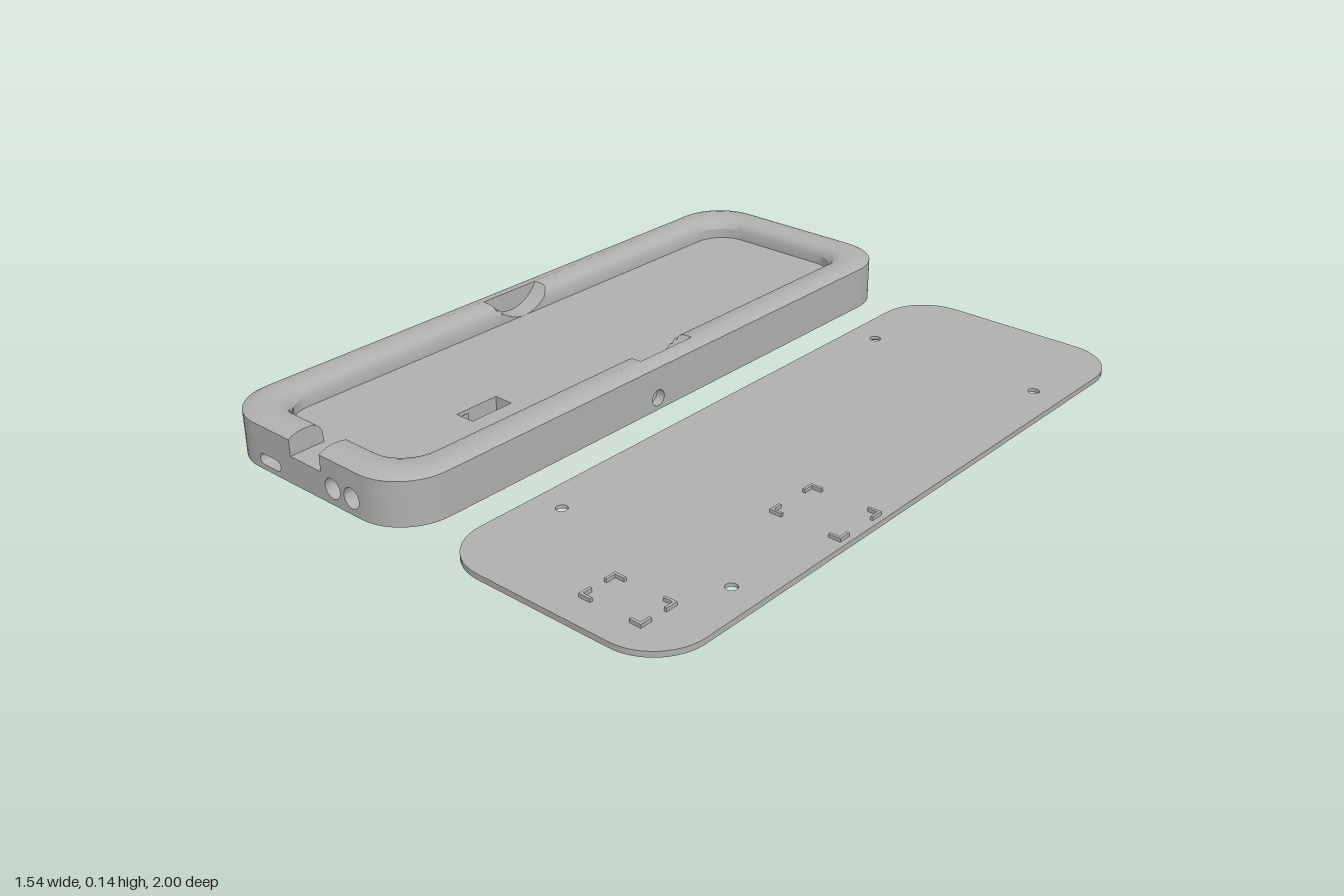
import * as THREE from 'three';
import { toCreasedNormals } from 'three/addons/utils/BufferGeometryUtils.js';

const HALF_W = 0.3575, HALF_L = 1, CORNER = 0.15, FLOOR = 0.08, CEILING = 0.068, RIM = 0.105;
const grey = new THREE.MeshStandardMaterial({ color: 0xb0b0b0, side: THREE.DoubleSide });
grey.name = 'plastic grey';

const vec = (x, z) => new THREE.Vector2(x, -z); // plan coordinates: shape y is -z

function add(parent, name, geometry) {
  const mesh = new THREE.Mesh(geometry, grey);
  mesh.name = name;
  parent.add(mesh);
  return mesh;
}

// Rounded rectangle inset by t, counter-clockwise from above, with samples where cuts need them
function outline(t) {
  const a = HALF_W - t, b = HALF_L - t, r = CORNER - 0.5 * t;
  const sx = a - r, sz = b - r, pts = [];
  const scoop = [];
  for (let i = -9; i <= 9; i++) scoop.push((i / 9) * 0.105);
  const notch = [-0.0627, -0.0625, 0.0575, 0.0577];
  const corner = (cx, cy, start) => {
    for (let i = 0; i <= 12; i++) {
      const q = start + (i / 12) * Math.PI / 2;
      pts.push(new THREE.Vector2(cx + r * Math.cos(q), cy + r * Math.sin(q)));
    }
  };
  scoop.forEach(y => pts.push(new THREE.Vector2(a, y)));
  corner(sx, sz, 0);
  corner(-sx, sz, Math.PI / 2);
  [...scoop].reverse().forEach(y => pts.push(new THREE.Vector2(-a, y)));
  corner(-sx, -sz, Math.PI);
  notch.forEach(x => pts.push(new THREE.Vector2(x, -b)));
  corner(sx, -sz, -Math.PI / 2);
  return pts;
}

// Quads between successive closed rings of [x, y, z]
function skin(rings, skip = () => false) {
  const n = rings[0].length, position = [];
  for (let i = 0; i < rings.length - 1; i++) {
    for (let j = 0; j < n; j++) {
      const k = (j + 1) % n;
      const a = rings[i][j], b = rings[i][k], c = rings[i + 1][k], d = rings[i + 1][j];
      if (!skip(a, b)) position.push(...a, ...b, ...c, ...a, ...c, ...d);
    }
  }
  const g = new THREE.BufferGeometry();
  g.setAttribute('position', new THREE.Float32BufferAttribute(position, 3));
  return toCreasedNormals(g, 0.5);
}

// Wall following a 2D outline, running along local z
const wall = (pts, z0, z1, skip) =>
  skin([z0, z1].map(z => pts.map(p => [p.x, p.y, z])), skip);

const lay = (g, y = 0) => g.rotateX(-Math.PI / 2).translate(0, y, 0);

function face(pts, holes = []) {
  const shape = new THREE.Shape(pts);
  shape.holes = holes.map(h => new THREE.Path(h));
  return new THREE.ShapeGeometry(shape);
}

const rect = (x0, x1, y0, y1) =>
  [[x0, y0], [x1, y0], [x1, y1], [x0, y1]].map(p => new THREE.Vector2(...p));

// Stadium outline; a circle when the half span is zero
function stadium(cx, cy, r, span = 0) {
  const pts = [];
  for (let i = 0; i < 24; i++) {
    const q = (i + 0.5) / 24 * Math.PI * 2;
    pts.push(new THREE.Vector2(cx + Math.sign(Math.cos(q)) * span + r * Math.cos(q), cy + r * Math.sin(q)));
  }
  return pts;
}

const fourHoles = (x, z, r) =>
  [[1, 1], [1, -1], [-1, 1], [-1, -1]].map(([i, j]) => stadium(i * x, j * z, r));

// Rim height after cutting the cable notch and the two finger scoops
function cutHeight(p, t, y) {
  const z = -p.y;
  if (z > 0.8 && p.x > -0.0626 && p.x < 0.0576) return Math.min(y, FLOOR);
  if (t > 0.045 && Math.abs(z) < 0.1051) return Math.min(y, FLOOR + 0.122 - Math.sqrt(0.122 ** 2 - z * z));
  return y;
}

function makeTray() {
  const tray = new THREE.Group();
  tray.name = 'tray';
  const outer = outline(0);

  // Raised rim with chamfered outside and rounded inside
  const profile = [[0, FLOOR], [0, 0.127], [0.01, 0.133], [0.03, 0.139], [0.045, 0.14], [0.0452, 0.14],
    [0.075, 0.139], [0.088, 0.134], [0.098, 0.124], [RIM, 0.11], [RIM, FLOOR]];
  add(tray, 'rim', skin(profile.map(([t, y]) =>
    outline(t).map(p => [p.x, cutHeight(p, t, y), -p.y]))));

  // Pocket floor with its window
  const windowHole = rect(0.08, 0.14, -0.57, -0.43);
  add(tray, 'pocketFloor', lay(face(outline(RIM), [windowHole]), FLOOR));
  add(tray, 'windowEdge', lay(wall(windowHole, CEILING, FLOOR)));

  // Lower side wall, left open where the drilled panels go
  const onPanel = (a, b) => (Math.abs(a[0] - HALF_W) < 1e-6 && Math.abs(b[0] - HALF_W) < 1e-6) ||
    (Math.abs(a[1] + HALF_L) < 1e-6 && Math.abs(b[1] + HALF_L) < 1e-6);
  add(tray, 'sideWall', lay(wall(outer, 0, FLOOR, onPanel)));

  // Front panel with a charging slot and two jack holes
  const half = HALF_W - CORNER;
  const slot = stadium(-0.1525, 0.031, 0.016, 0.0265);
  const jacks = [0.1, 0.1725].map(x => stadium(x, 0.047, 0.029));
  add(tray, 'frontPanel', face(rect(-half, half, 0, FLOOR), [slot, ...jacks])).position.z = HALF_L;
  add(tray, 'chargingSlot', wall(slot, 0.95, HALF_L));
  jacks.forEach(j => add(tray, 'jackHole', wall(j, 0.92, HALF_L)));

  // Left panel with one round hole
  const side = HALF_L - CORNER, button = stadium(-0.085, 0.036, 0.024);
  add(tray, 'leftPanel', face(rect(-side, side, 0, FLOOR), [button]).rotateY(Math.PI / 2).translate(HALF_W, 0, 0));
  add(tray, 'buttonHole', wall(button, 0.33, HALF_W).rotateY(Math.PI / 2));

  // Underside with pockets and wire channels
  const boardPocket = [[0.33, 0.05], [0.25, 0.05], [0.25, 0.17], [0.14, 0.17], [0.14, 0.36], [0.19, 0.36],
    [0.19, 0.79], [0.04, 0.79], [0.04, 0.92], [0.23, 0.92], [0.23, 0.79], [0.22, 0.79], [0.22, 0.36],
    [0.345, 0.36], [0.345, 0.17], [0.33, 0.17]].map(p => vec(...p));
  const chargePocket = [[0.14, 0.43], [0.08, 0.43], [0.08, 0.53], [-0.17, 0.84], [-0.2, 0.84], [-0.2, 0.95],
    [-0.1, 0.95], [-0.1, 0.84], [-0.13, 0.84], [0.12, 0.57], [0.14, 0.57]].map(p => vec(...p));
  const screws = fourHoles(0.27, 0.66, 0.012);
  add(tray, 'underside', lay(face(outer, [boardPocket, chargePocket, ...screws])));
  [boardPocket, chargePocket].forEach(p => {
    add(tray, 'pocketWall', lay(wall(p, 0, CEILING)));
  });
  add(tray, 'boardPocketCeiling', lay(face(boardPocket), CEILING));
  // The charge pocket ceiling stops short of the window
  add(tray, 'chargePocketCeiling', lay(face([...chargePocket.slice(2, 10), vec(0.08, 0.57)]), CEILING));
  screws.forEach(s => {
    add(tray, 'screwHole', lay(wall(s, 0, 0.05)));
    add(tray, 'screwHoleEnd', lay(face(s), 0.05));
  });
  return tray;
}

function makeCover() {
  const cover = new THREE.Group();
  cover.name = 'cover';
  const slab = (name, holes, y, height) => {
    const shape = new THREE.Shape(outline(0));
    shape.holes = holes.map(h => new THREE.Path(h));
    const g = new THREE.ExtrudeGeometry(shape, { depth: height, bevelEnabled: false });
    add(cover, name, toCreasedNormals(lay(g, y), 0.5));
  };
  // Lower layer carries the foot recesses and countersinks
  slab('coverBottom', [...fourHoles(0.27, 0.66, 0.026), ...fourHoles(0.24, 0.8, 0.045)], 0, 0.006);
  slab('coverTop', fourHoles(0.27, 0.66, 0.016), 0.006, 0.01);

  // L-shaped corner brackets that locate the two boards
  for (const [cx, cz, hx, hz] of [[0.235, 0.26, 0.107, 0.084], [0.132, 0.857, 0.095, 0.06]]) {
    for (const i of [-1, 1]) for (const j of [-1, 1]) {
      const x = cx + i * hx, z = cz + j * hz, arm = 0.036, thick = 0.008, h = 0.012;
      add(cover, 'bracketArm', new THREE.BoxGeometry(arm, h, thick))
        .position.set(x - i * arm / 2, 0.02, z - j * thick / 2);
      add(cover, 'bracketArm', new THREE.BoxGeometry(thick, h, arm))
        .position.set(x - i * thick / 2, 0.02, z - j * arm / 2);
    }
  }
  return cover;
}

export function createModel() {
  const model = new THREE.Group();
  model.name = 'trayAndCover';
  const tray = makeTray(), cover = makeCover();
  tray.position.x = -0.4125;
  cover.position.x = 0.4125;
  model.add(tray, cover);
  return model;
}
